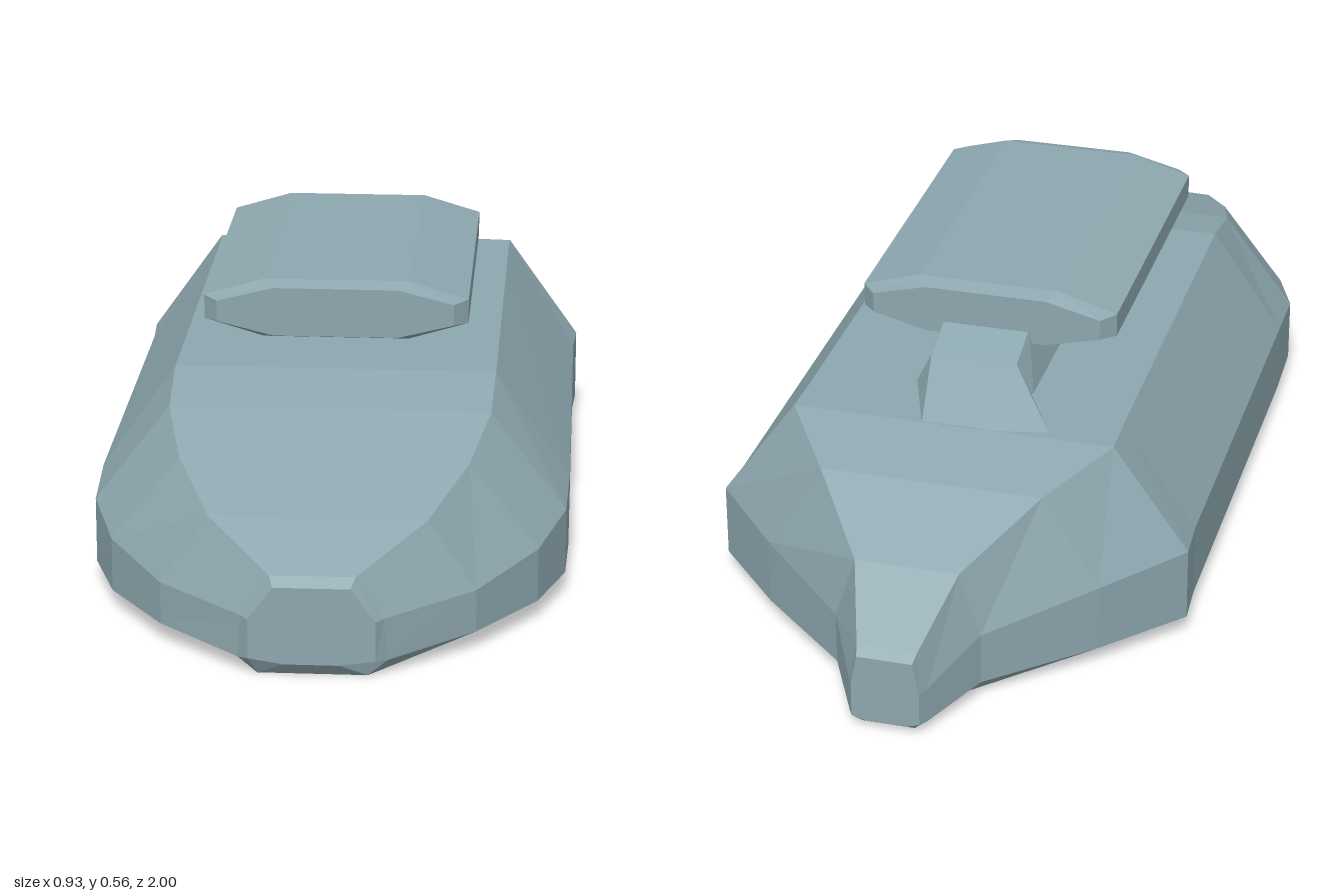
import * as THREE from 'three';

const material = new THREE.MeshStandardMaterial({ color: 0x8da7ae, flatShading: true });

// Skin mirrored half sections, ordered front to back; half points run from bottom to top at +x.
function loft(name, sections) {
  const loops = sections.map(([z, ...half]) => [
    ...half.map(([x, y]) => new THREE.Vector3(x, y, z)),
    ...half.slice().reverse().map(([x, y]) => new THREE.Vector3(-x, y, z)),
  ]);
  const positions = [];
  const tri = (...corners) => corners.forEach((p) => positions.push(p.x, p.y, p.z));
  for (let s = 0; s < loops.length - 1; s++) {
    const a = loops[s], b = loops[s + 1], n = a.length;
    for (let i = 0; i < n; i++) {
      const j = (i + 1) % n;
      tri(a[i], b[i], b[j]);
      tri(a[i], b[j], a[j]);
    }
  }
  // End caps
  const first = loops[0], last = loops[loops.length - 1];
  for (let i = 1; i < first.length - 1; i++) {
    tri(first[0], first[i], first[i + 1]);
    tri(last[0], last[i + 1], last[i]);
  }
  const geometry = new THREE.BufferGeometry();
  geometry.setAttribute('position', new THREE.Float32BufferAttribute(positions, 3));
  geometry.computeVertexNormals();
  const mesh = new THREE.Mesh(geometry, material);
  mesh.name = name;
  return mesh;
}

export function createModel() {
  const group = new THREE.Group();
  group.name = 'hoverCraft';

  // Hull: z, then keel, lower edge, chine and deck edge
  group.add(loft('hull', [
    [1.0, [0.05, 0.025], [0.115, 0.035], [0.115, 0.11], [0.07, 0.172]],
    [0.98, [0.1, 0], [0.135, 0.03], [0.13, 0.11], [0.078, 0.188]],
    [0.85, [0.12, 0], [0.29, 0.037], [0.29, 0.118], [0.2, 0.25]],
    [0.69, [0.13, 0], [0.4, 0.037], [0.4, 0.14], [0.27, 0.305]],
    [0.54, [0.13, 0], [0.45, 0.037], [0.45, 0.165], [0.305, 0.355]],
    [0.39, [0.13, 0], [0.455, 0.037], [0.455, 0.18], [0.31, 0.388]],
    [-0.45, [0.13, 0], [0.457, 0.037], [0.457, 0.182], [0.313, 0.39]],
    [-0.54, [0.13, 0], [0.463, 0.037], [0.463, 0.182], [0.315, 0.39]],
    [-0.69, [0.13, 0], [0.325, 0.037], [0.325, 0.17], [0.215, 0.35]],
    [-0.85, [0.1, 0], [0.14, 0.032], [0.14, 0.135], [0.1, 0.262]],
    [-0.98, [0.05, 0], [0.075, 0.02], [0.075, 0.09], [0.058, 0.168]],
    [-1.0, [0.04, 0.015], [0.065, 0.022], [0.065, 0.09], [0.053, 0.152]],
  ]));

  // Neck with a sloped nose and a flared tail fairing
  group.add(loft('neck', [
    [0.08, [0.075, 0.38], [0.074, 0.39]],
    [-0.03, [0.1, 0.38], [0.06, 0.455]],
    [-0.08, [0.12, 0.38], [0.09, 0.46]],
    [-0.29, [0.12, 0.38], [0.085, 0.482]],
    [-0.385, [0.12, 0.38], [0.085, 0.452]],
    [-0.54, [0.2, 0.38], [0.06, 0.391]],
  ]));

  // Flat pod with chamfered rims
  const rim = [[0.12, 0.455], [0.228, 0.482], [0.228, 0.523], [0.12, 0.55]];
  const body = [[0.14, 0.445], [0.255, 0.479], [0.255, 0.526], [0.14, 0.56]];
  group.add(loft('pod', [[0.4, ...rim], [0.37, ...body], [-0.27, ...body], [-0.3, ...rim]]));

  return group;
}
